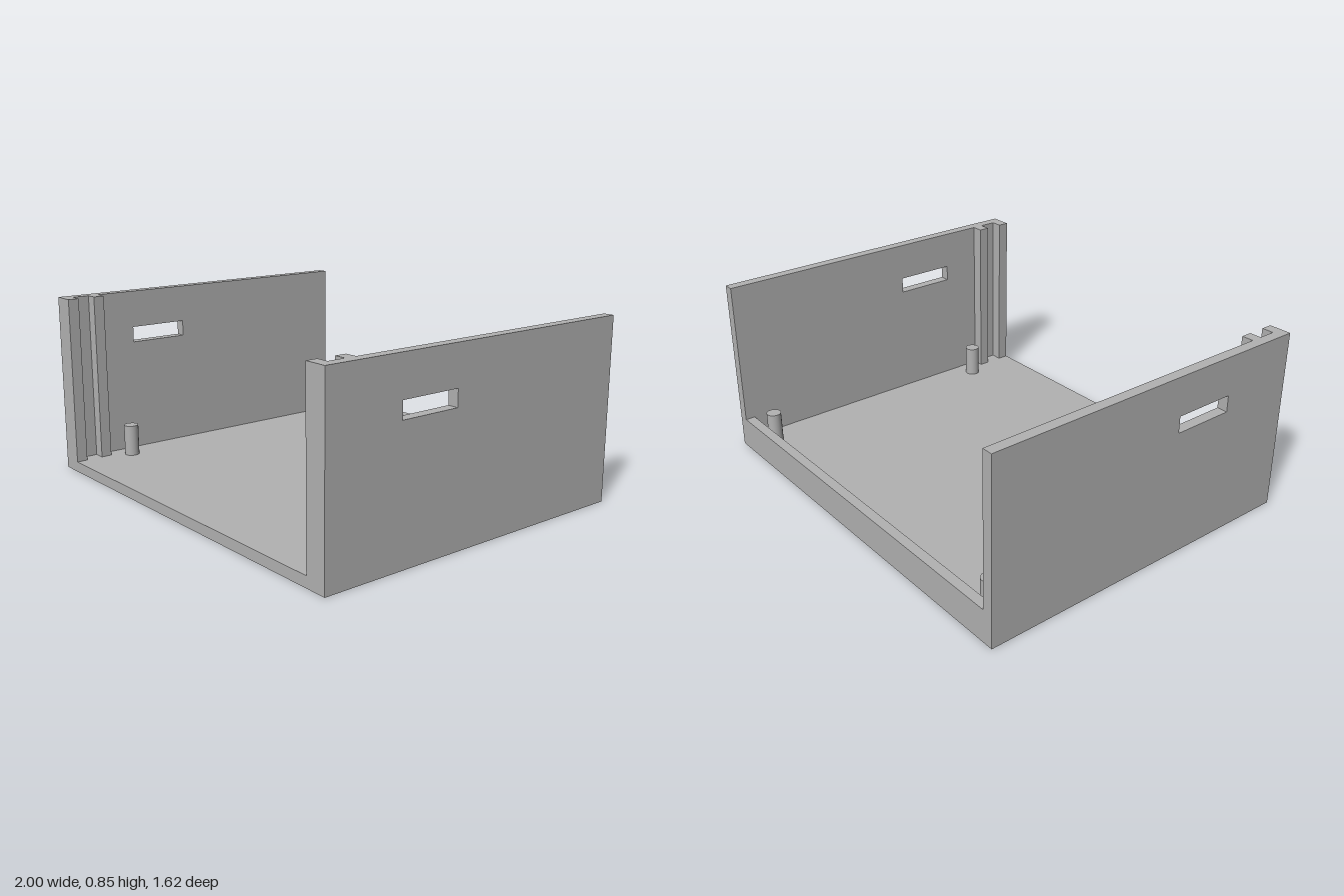
import * as THREE from 'three';

const HALF_W = 1, HALF_D = 0.81, HEIGHT = 0.85, WALL = 0.05, FLOOR = 0.05;

export function createModel() {
  const model = new THREE.Group();
  model.name = 'openEnclosure';
  const grey = new THREE.MeshStandardMaterial({ color: 0xb2b2b2 });
  grey.name = 'grey plastic';

  const add = (name, geometry) => {
    const mesh = new THREE.Mesh(geometry, grey);
    mesh.name = name;
    model.add(mesh);
  };
  // Box given by its min and max corners
  const block = (name, x0, x1, y0, y1, z0, z1) => {
    const g = new THREE.BoxGeometry(x1 - x0, y1 - y0, z1 - z0);
    g.translate((x0 + x1) / 2, (y0 + y1) / 2, (z0 + z1) / 2);
    add(name, g);
  };

  // Floor plate and low rear lip between the walls
  const inner = HALF_W - WALL;
  block('floor', -inner, inner, 0, FLOOR, -HALF_D, HALF_D);
  block('rearLip', -inner, inner, FLOOR, 0.155, -HALF_D, -0.763);

  // Side wall outline in z and y, with a slot
  const outline = new THREE.Shape([
    new THREE.Vector2(-HALF_D, 0), new THREE.Vector2(HALF_D, 0),
    new THREE.Vector2(HALF_D, HEIGHT), new THREE.Vector2(-HALF_D, HEIGHT),
  ]);
  outline.holes.push(new THREE.Path([
    new THREE.Vector2(0.15, 0.594), new THREE.Vector2(0.15, 0.67),
    new THREE.Vector2(0.44, 0.67), new THREE.Vector2(0.44, 0.594),
  ]));

  for (const [side, s] of [['left', 1], ['right', -1]]) {
    const wall = new THREE.ExtrudeGeometry(outline, { depth: WALL, bevelEnabled: false });
    wall.rotateY(-Math.PI / 2);
    wall.translate(s > 0 ? HALF_W : -inner, 0, 0);
    add(side + 'Wall', wall);

    // Two ribs forming the front panel groove
    for (const [name, z0, z1] of [['RearRib', 0.625, 0.677], ['FrontRib', 0.757, HALF_D]]) {
      const xs = [s * 0.895, s * inner].sort((a, b) => a - b);
      block(side + name, xs[0], xs[1], FLOOR, HEIGHT, z0, z1);
    }

    // Mounting posts
    for (const [name, z] of [['FrontPost', 0.53], ['RearPost', -0.705]]) {
      const post = new THREE.CylinderGeometry(0.035, 0.035, 0.15, 32);
      post.translate(s * 0.853, FLOOR + 0.075, z);
      add(side + name, post);
    }
  }
  return model;
}
